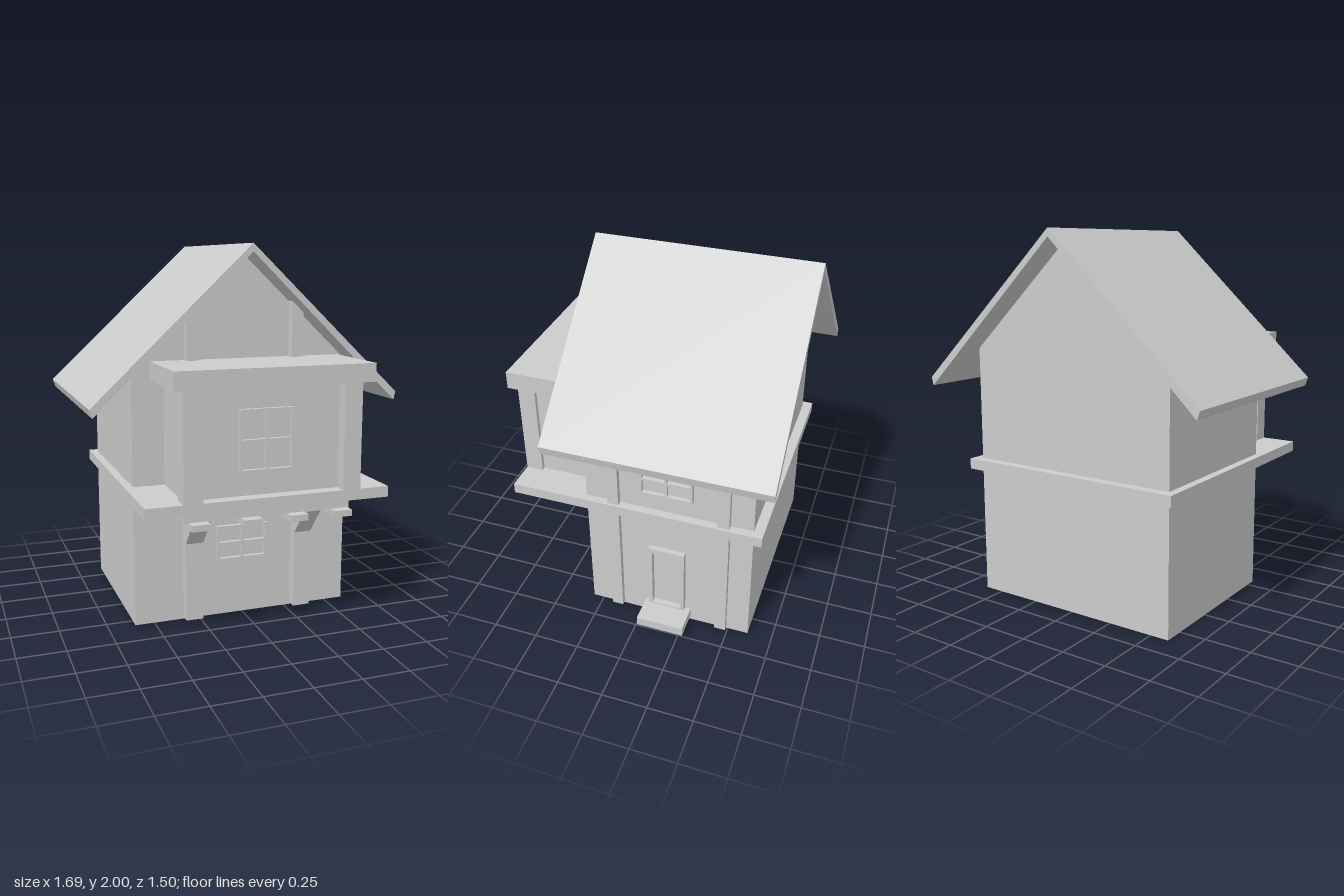
import * as THREE from 'three';

const material = new THREE.MeshStandardMaterial({ color: 0xcccccc });

export function createModel() {
  const house = new THREE.Group();
  house.name = 'house';

  const add = (name, geometry, parent = house) => {
    const mesh = new THREE.Mesh(geometry, material);
    mesh.name = name;
    parent.add(mesh);
    return mesh;
  };

  // Box given by its limits on each axis
  const box = (name, x0, x1, y0, y1, z0, z1) => {
    const mesh = add(name, new THREE.BoxGeometry(x1 - x0, y1 - y0, z1 - z0));
    mesh.position.set((x0 + x1) / 2, (y0 + y1) / 2, (z0 + z1) / 2);
    return mesh;
  };

  const outline = (points) => new THREE.Shape(points.map(([x, y]) => new THREE.Vector2(x, y)));
  const extrude = (shape, depth) => new THREE.ExtrudeGeometry(shape, { depth, bevelEnabled: false });
  const rect = (x0, x1, y0, y1) => [[x0, y0], [x1, y0], [x1, y1], [x0, y1]];

  // Flat frame, facing +z, with rectangular openings
  const frame = (name, w, h, openings, depth) => {
    const shape = outline(rect(-w / 2, w / 2, -h / 2, h / 2));
    shape.holes = openings.map((o) => outline(rect(...o)));
    return add(name, extrude(shape, depth));
  };

  // Four-pane window frame
  const windowFrame = (name, w, h) => {
    const edge = 0.014, bar = 0.007;
    const openings = [];
    for (const [x0, x1] of [[-w / 2 + edge, -bar], [bar, w / 2 - edge]])
      for (const [y0, y1] of [[-h / 2 + edge, -bar], [bar, h / 2 - edge]])
        openings.push([x0, x1, y0, y1]);
    return frame(name, w, h, openings, 0.022);
  };

  // Main walls with both gables
  const walls = outline([[-0.605, 0], [0.61, 0], [0.61, 1.37], [0, 1.948], [-0.605, 1.375]]);
  add('walls', extrude(walls, 0.925)).position.z = -0.614;

  // Pitched roof slab
  const roof = outline([
    [-0.83, 1.155], [0.005, 1.958], [0.833, 1.165], [0.843, 1.21], [0.005, 2], [-0.845, 1.2],
  ]);
  add('roof', extrude(roof, 1.195)).position.z = -0.75;

  // Floor band, carried forward under the bay
  box('floorBand', -0.648, 0.655, 0.703, 0.76, -0.667, 0.725);

  // Projecting bay
  box('bay', -0.435, 0.47, 0.76, 1.315, 0.3, 0.657);
  box('bayRoof', -0.505, 0.55, 1.315, 1.41, 0.3, 0.75);
  for (const [x0, x1] of [[-0.455, -0.355], [0.395, 0.492]])
    box('bayPost', x0, x1, 0.76, 1.315, 0.63, 0.725);

  // Beam and joists below the bay
  box('bayBeam', -0.445, 0.445, 0.655, 0.703, 0.3, 0.69);
  for (const x of [-0.37, -0.1, 0.148, 0.392])
    box('joist', x - 0.048, x + 0.048, 0.625, 0.658, 0.3, 0.74);

  // Front posts with diagonal braces
  const brace = outline([[0.36, 0.44], [0.37, 0.44], [0.545, 0.65], [0.435, 0.65], [0.36, 0.54]]);
  for (const x of [-0.29, 0.333]) {
    box('frontPost', x - 0.048, x + 0.048, 0.012, 0.66, 0.3, 0.37);
    const mesh = add('brace', extrude(brace, 0.096));
    mesh.rotation.y = -Math.PI / 2;
    mesh.position.x = x + 0.048;
  }

  // Gable studs above the bay
  for (const side of [-1, 1]) {
    const stud = outline([
      [side * 0.26, 1.4], [side * 0.322, 1.4], [side * 0.322, 1.645], [side * 0.26, 1.705],
    ]);
    add('gableStud', extrude(stud, 0.06)).position.z = 0.3;
  }

  // Posts on the door side
  for (const z of [0.15, -0.46])
    box('sidePost', 0.6, 0.64, 0.012, 1.335, z - 0.031, z + 0.031);

  // Windows
  windowFrame('bayWindow', 0.288, 0.32).position.set(-0.005, 1.04, 0.657);
  windowFrame('lowerWindow', 0.288, 0.195).position.set(-0.005, 0.407, 0.311);
  const sideWindow = windowFrame('sideWindow', 0.29, 0.195);
  sideWindow.rotation.y = Math.PI / 2;
  sideWindow.position.set(0.61, 0.963, -0.145);

  // Door frame and step
  const door = frame('doorFrame', 0.206, 0.41, [[-0.08, 0.08], [-0.193, 0.178]].length ? [[-0.08, 0.08, -0.195, 0.178]] : [], 0.03);
  door.rotation.y = Math.PI / 2;
  door.position.set(0.61, 0.293, -0.145);
  box('doorStep', 0.6, 0.767, 0.027, 0.08, -0.28, -0.015);

  return house;
}
